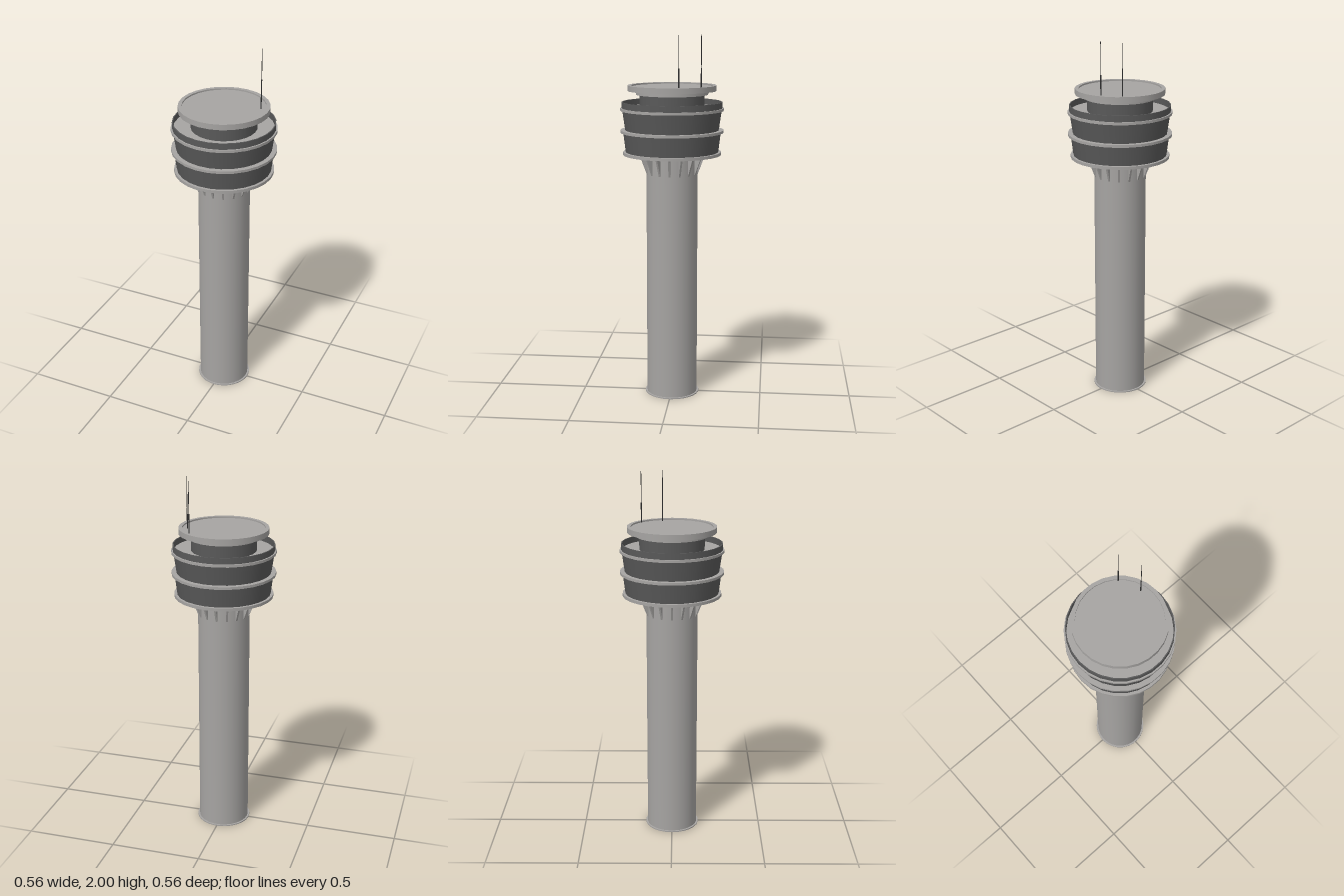
import * as THREE from 'three';
import { mergeGeometries } from 'three/addons/utils/BufferGeometryUtils.js';

const SIDES = 26;

// Revolves a profile of [radius, y] points, keeping a crisp edge at every point
function turned(profile) {
  const bands = [];
  for (let i = 0; i < profile.length - 1; i++) {
    const pair = [profile[i], profile[i + 1]].map(([r, y]) => new THREE.Vector2(r, y));
    bands.push(new THREE.LatheGeometry(pair, SIDES));
  }
  return mergeGeometries(bands).rotateY(Math.PI / 2);
}

// Solid drum, optionally flared
function drum(r0, r1, y0, y1) {
  return turned([[0, y0], [r0, y0], [r1, y1], [0, y1]]);
}

export function createModel() {
  const concrete = new THREE.MeshStandardMaterial({ name: 'concrete grey', color: 0xa6a4a2 });
  const dark = new THREE.MeshStandardMaterial({ name: 'dark glass', color: 0x595959 });
  const metal = new THREE.MeshStandardMaterial({ name: 'antenna black', color: 0x303030 });

  const tower = new THREE.Group();
  tower.name = 'controlTower';
  const add = (name, geometry, material, parent = tower) => {
    const mesh = new THREE.Mesh(geometry, material);
    mesh.name = name;
    parent.add(mesh);
    return mesh;
  };

  // Foot and shaft
  add('basePlate', drum(0.15, 0.15, 0, 0.006), concrete);
  add('shaft', drum(0.14, 0.14, 0.006, 1.357), concrete);

  // Triangular brackets under the cabin
  const brackets = new THREE.Group();
  brackets.name = 'brackets';
  tower.add(brackets);
  const fin = new THREE.Shape([[0.13, 1.25], [0.141, 1.25], [0.182, 1.357], [0.13, 1.357]]
    .map(([x, y]) => new THREE.Vector2(x, y)));
  const finGeometry = new THREE.ExtrudeGeometry(fin, { depth: 0.01, bevelEnabled: false });
  finGeometry.translate(0, 0, -0.005);
  for (let i = 0; i < 16; i++) {
    add('bracket', finGeometry, concrete, brackets).rotation.y = (i / 16) * Math.PI * 2;
  }

  // Two window storeys between projecting ledges
  add('lowerLedge', drum(0.267, 0.267, 1.355, 1.371), concrete);
  add('lowerWindows', drum(0.252, 0.265, 1.371, 1.476), dark);
  add('middleLedge', drum(0.28, 0.28, 1.476, 1.49), concrete);
  add('upperWindows', drum(0.254, 0.269, 1.49, 1.594), dark);
  add('upperLedge', drum(0.28, 0.28, 1.594, 1.608), concrete);

  // Roof terrace with its parapet
  add('parapet', turned([[0.272, 1.608], [0.272, 1.641], [0.266, 1.641], [0.266, 1.608]]), dark);

  // Roof lantern and dished cap
  add('roofNeck', drum(0.175, 0.175, 1.608, 1.68), dark);
  add('capSupport', drum(0.195, 0.195, 1.68, 1.7), concrete);
  add('cap', turned([
    [0, 1.7], [0.24, 1.7], [0.24, 1.73], [0.22, 1.73], [0.22, 1.722], [0, 1.722],
  ]), concrete);

  // Stepped whip antennas
  for (const [x, z] of [[0.138, -0.167], [0.184, -0.053]]) {
    const antenna = new THREE.Group();
    antenna.name = 'antenna';
    antenna.position.set(x, 0, z);
    tower.add(antenna);
    add('antennaBase', new THREE.CylinderGeometry(0.003, 0.003, 0.11, 8), metal, antenna).position.y = 1.775;
    add('antennaWhip', new THREE.CylinderGeometry(0.0015, 0.002, 0.17, 8), metal, antenna).position.y = 1.915;
  }

  return tower;
}
